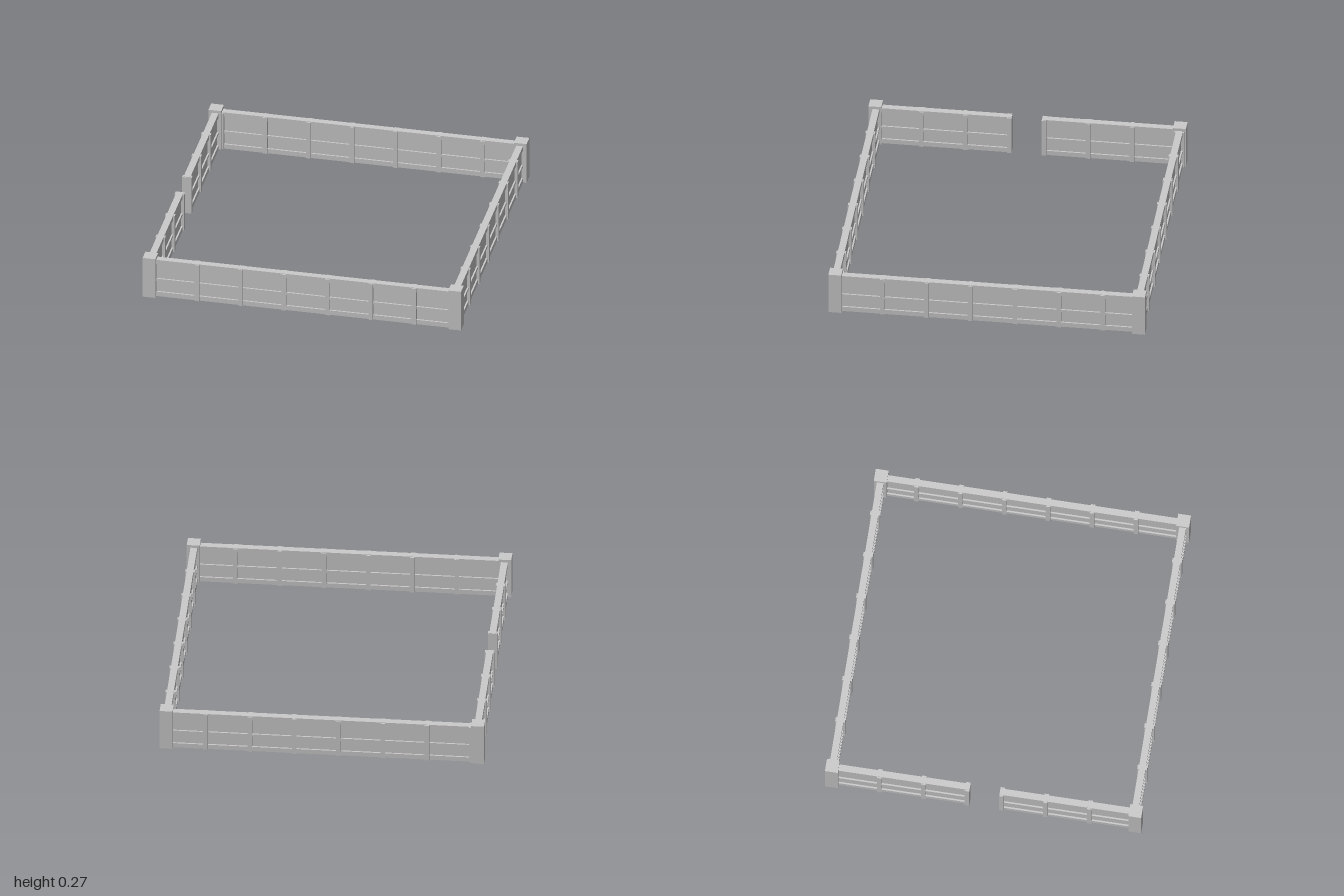
import * as THREE from 'three';

const material = new THREE.MeshStandardMaterial({ color: 0xcccccc, flatShading: true });

function box(parent, name, size, pos) {
  const mesh = new THREE.Mesh(new THREE.BoxGeometry(...size), material);
  mesh.name = name;
  mesh.position.set(...pos);
  parent.add(mesh);
}

// A wall running along local x: thin panel, three rails and upright battens
function wall(name, from, to, battens) {
  const group = new THREE.Group();
  group.name = name;
  const length = to - from, mid = (from + to) / 2;
  box(group, 'panel', [length, 0.245, 0.022], [mid, 0.125, 0]);
  const rails = [['bottomRail', 0, 0.031], ['middleRail', 0.107, 0.123], ['topRail', 0.225, 0.255]];
  for (const [railName, y0, y1] of rails) {
    box(group, railName, [length, y1 - y0, 0.042], [mid, (y0 + y1) / 2, 0]);
  }
  for (const x of battens) box(group, 'batten', [0.028, 0.252, 0.06], [x, 0.126, 0]);
  return group;
}

// Evenly spaced batten positions
const spaced = (start, count) => Array.from({ length: count }, (_, i) => start + i * 0.273);

export function createModel() {
  const model = new THREE.Group();
  model.name = 'walledEnclosure';

  // Front and back walls
  const front = wall('frontWall', -0.94, 0.94, spaced(-0.663, 6));
  front.position.z = 0.937;
  const back = wall('backWall', -0.94, 0.94, spaced(-0.92, 7));
  back.position.z = -0.943;
  model.add(front, back);

  // Side walls, turned so that local x runs along +z; the left-hand side has a gateway
  const sides = [
    ['leftWall', 0.956, -0.92, 0.92, spaced(-0.72, 6)],
    ['rightWallBack', -0.957, -0.92, -0.09, spaced(-0.648, 3)],
    ['rightWallFront', -0.957, 0.1, 0.92, spaced(0.112, 3)],
  ];
  for (const [name, x, from, to, battens] of sides) {
    const side = wall(name, from, to, battens);
    side.rotation.y = -Math.PI / 2;
    side.position.x = x;
    model.add(side);
  }

  // Corner posts
  for (const [x, z] of [[-0.96, -0.943], [0.96, -0.943], [-0.96, 0.943], [0.96, 0.937]]) {
    box(model, 'cornerPost', [0.08, 0.273, 0.08], [x, 0.1365, z]);
  }
  return model;
}
